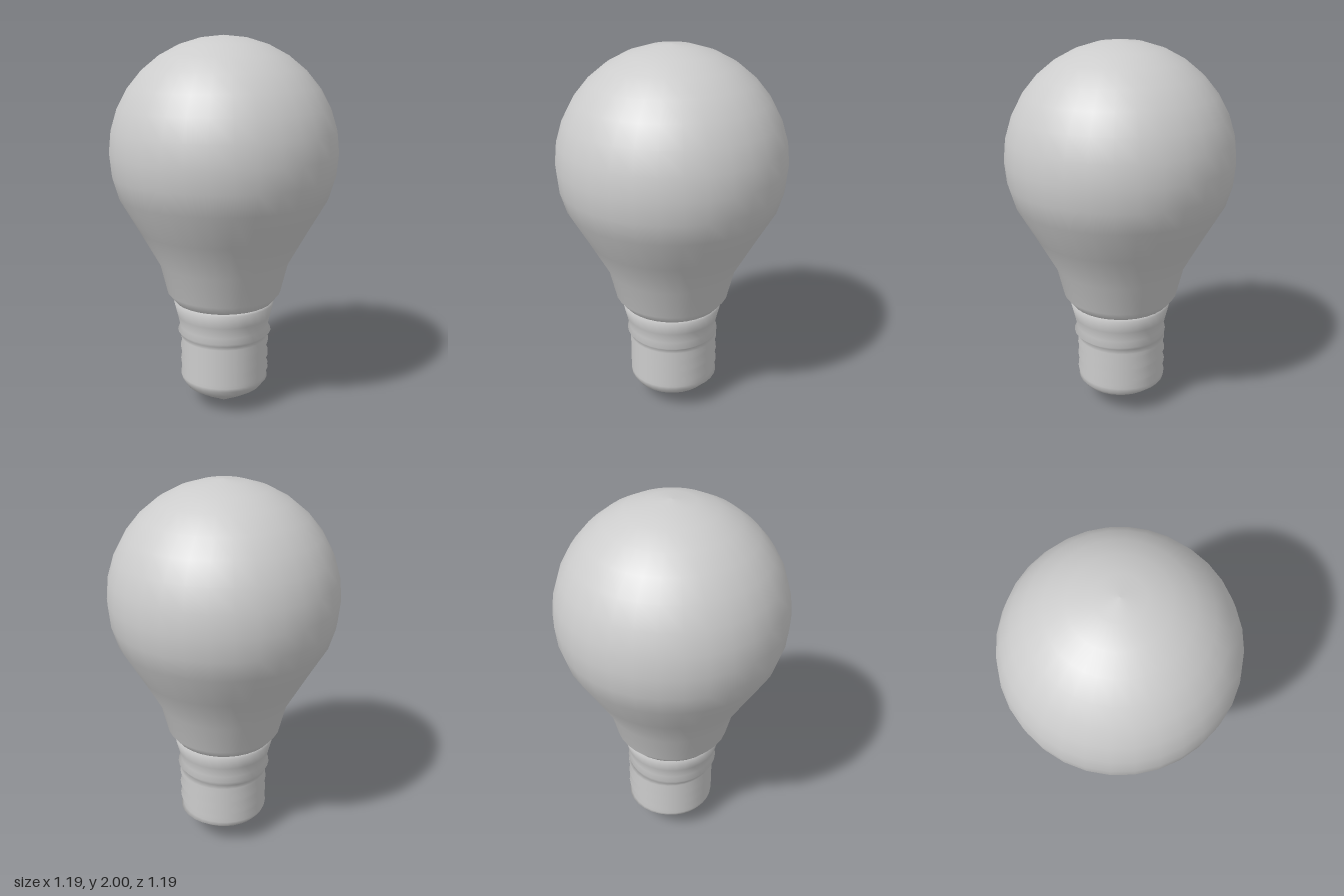
import * as THREE from 'three';

const SIDES = 32;
const v = (r, y) => new THREE.Vector2(r, y);

function addLathe(group, name, points, material) {
  const mesh = new THREE.Mesh(new THREE.LatheGeometry(points, SIDES), material);
  mesh.name = name;
  group.add(mesh);
  return mesh;
}

export function createModel() {
  const group = new THREE.Group();
  group.name = 'lightBulb';
  const grey = new THREE.MeshStandardMaterial({ color: 0xcccccc });
  grey.name = 'grey';

  // Glass bulb: tapered neck, then a round dome
  const glass = [v(0.268, 0.6), v(0.308, 0.65), v(0.347, 0.81), v(0.452, 1.0)];
  for (let i = 0; i <= 10; i++) {
    const a = THREE.MathUtils.degToRad(-22 + 112 * i / 10);
    glass.push(v(Math.max(0, 0.597 * Math.cos(a)), 1.402 + 0.597 * Math.sin(a)));
  }
  addLathe(group, 'glassBulb', glass, grey);

  // Underside of the neck
  addLathe(group, 'neckRim', [v(0.22, 0.592), v(0.27, 0.601)], grey);

  // Screw base: rounded bottom, straight threaded wall, flared collar
  const base = [v(0, 0.005), v(0.04, 0.012), v(0.08, 0.033), v(0.15, 0.072), v(0.21, 0.11), v(0.232, 0.145)];
  for (let i = 1; i <= 14; i++) base.push(v(0.233, 0.145 + 0.0185 * i));
  base.push(v(0.25, 0.425), v(0.241, 0.455), v(0.255, 0.515), v(0.273, 0.588), v(0.24, 0.59));
  const screw = addLathe(group, 'screwBase', base, grey);

  // Shallow spiral thread, fading out toward the front
  const pos = screw.geometry.attributes.position;
  const pitch = 0.078;
  for (let i = 0; i < pos.count; i++) {
    const x = pos.getX(i), y = pos.getY(i), z = pos.getZ(i);
    if (y < 0.14 || y > 0.43) continue;
    const phi = (Math.atan2(x, z) + 2 * Math.PI) % (2 * Math.PI);
    const peak = 0.4 - pitch * (1.5 * Math.PI - phi) / (2 * Math.PI);
    const wave = 0.5 + 0.5 * Math.cos(2 * Math.PI * (y - peak) / pitch);
    const s = 1 + 0.09 * wave * (1 - Math.cos(phi)) / 2;
    pos.setXYZ(i, x * s, y, z * s);
  }

  // Contact at the very bottom
  addLathe(group, 'contact', [v(0, 0), v(0.03, 0.004), v(0.045, 0.018)], grey);
  return group;
}
